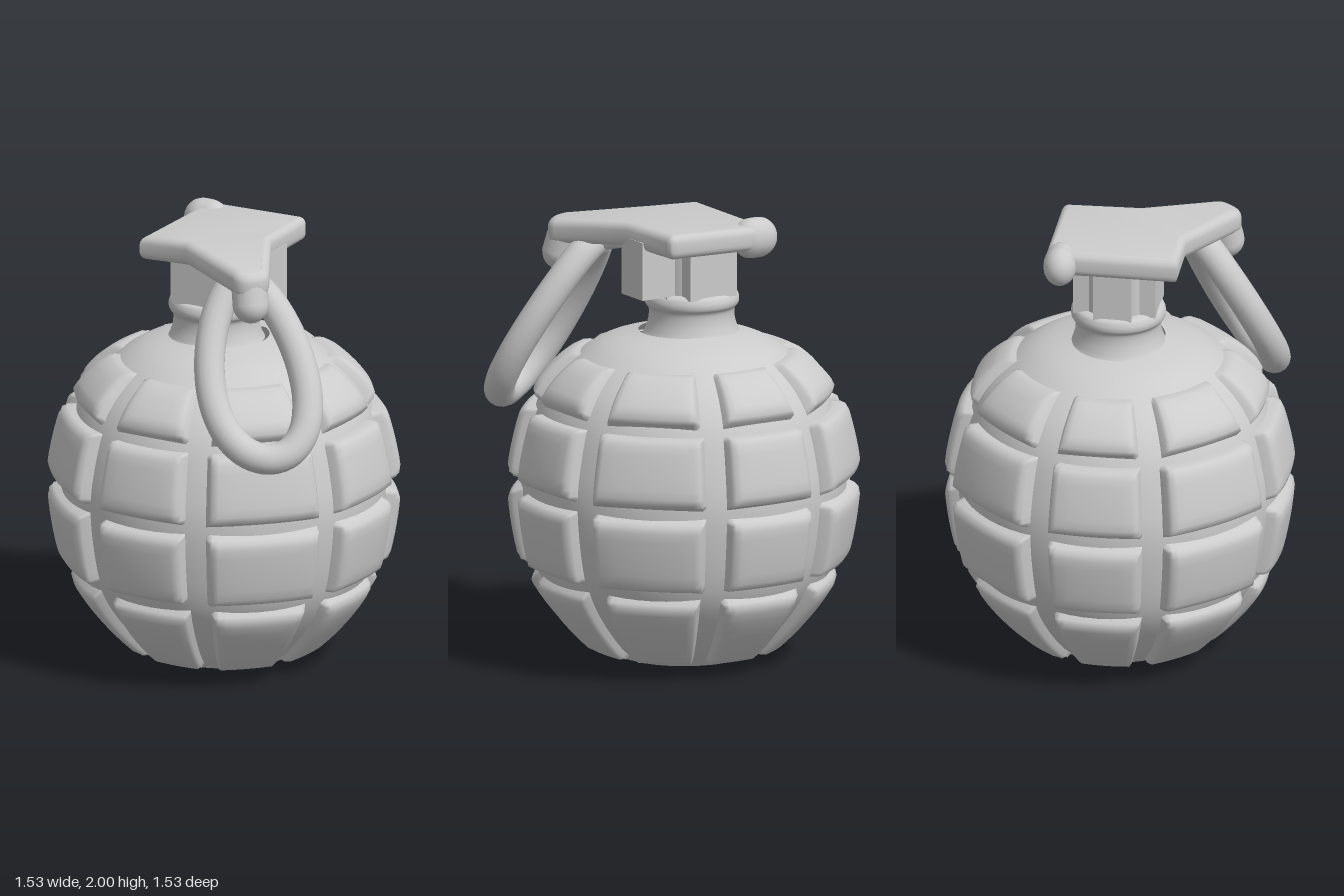
import * as THREE from 'three';
import { toCreasedNormals } from 'three/addons/utils/BufferGeometryUtils.js';

const mat = new THREE.MeshStandardMaterial({ color: 0xcccccc, side: THREE.DoubleSide });
const V3 = (x, y, z) => new THREE.Vector3(x, y, z);
const pts2 = (list) => list.map(([x, y]) => new THREE.Vector2(x, y));

// Core silhouette: radius, height
const profile = new THREE.SplineCurve(pts2([
  [0.32, 0.035], [0.44, 0.13], [0.57, 0.28], [0.65, 0.42], [0.695, 0.6], [0.715, 0.8],
  [0.695, 0.97], [0.64, 1.16], [0.545, 1.3], [0.38, 1.425], [0.2, 1.48]])).getPoints(60);

function coreRadius(y) {
  let i = 1;
  while (i < profile.length - 1 && profile[i].y < y) i++;
  const a = profile[i - 1], b = profile[i];
  return a.x + (b.x - a.x) * (y - a.y) / (b.y - a.y);
}

// Positions and heights across a plate: steep bevelled rim, rounded edge, gentle middle
function plateSteps(size, height) {
  const rim = [[0, -0.02], [0.016, 0.45 * height], [0.03, 0.82 * height], [0.055, height]];
  const steps = rim.map(([d, h]) => [d, h]);
  for (let k = 1; k < 6; k++) steps.push([0.055 + (size - 0.11) * k / 6, height]);
  rim.slice().reverse().forEach(([d, h]) => steps.push([size - d, h]));
  return steps;
}

// One raised plate wrapped on the core, facing +z; fade lowers its upper end into the core
function plateGeometry(y0, y1, halfAngle, height, fade) {
  const mid = coreRadius((y0 + y1) / 2);
  const us = plateSteps(2 * halfAngle * mid, height), vs = plateSteps(y1 - y0, height);
  const pos = [], index = [], n = us.length;
  vs.forEach(([v, hv], j) => us.forEach(([u, hu], i) => {
    const y = y0 + v, a = u / mid - halfAngle;
    const h = Math.min(hu, hv) * (1 - fade * (v / (y1 - y0)) ** 2);
    const slope = (coreRadius(y + 0.03) - coreRadius(y - 0.03)) / 0.06;
    const len = Math.hypot(1, slope);
    const flat = 1 + 0.4 * (1 / Math.cos(a) - 1);
    const r = (coreRadius(y) + h / len) * flat;
    pos.push(r * Math.sin(a), y - slope * h / len, r * Math.cos(a));
    if (i < n - 1 && j < vs.length - 1) {
      const k = j * n + i;
      index.push(k, k + 1, k + n + 1, k, k + n + 1, k + n);
    }
  }));
  const g = new THREE.BufferGeometry();
  g.setAttribute('position', new THREE.Float32BufferAttribute(pos, 3));
  g.setIndex(index);
  g.computeVertexNormals();
  return g;
}

export function createModel() {
  const model = new THREE.Group();
  const add = (name, geometry, x = 0, y = 0, z = 0, parent = model) => {
    const m = new THREE.Mesh(geometry, mat);
    m.name = name;
    m.position.set(x, y, z);
    parent.add(m);
    return m;
  };
  const box = (name, w, h, d, x, y, z) => add(name, new THREE.BoxGeometry(w, h, d), x, y, z);

  // Body core and base disc
  add('bodyCore', new THREE.LatheGeometry(profile, 64));
  add('baseDisc', toCreasedNormals(new THREE.LatheGeometry(pts2([
    [0, 0], [0.2, 0.01], [0.29, 0.025], [0.325, 0.04], [0.34, 0.065], [0.3, 0.08]]), 48), 0.8));

  // Four rows of eight raised plates, the diagonal ones wider:
  // bottom, top, half angle, diagonal half angle, height, fade
  const rows = [
    [0.055, 0.405, 0.315, 0.34, 0.042, 0], [0.44, 0.785, 0.3, 0.36, 0.05, 0],
    [0.82, 1.145, 0.3, 0.36, 0.052, 0], [1.17, 1.385, 0.295, 0.34, 0.045, 0.4]];
  rows.forEach(([y0, y1, half, diagonalHalf, height, fade], r) => {
    const row = new THREE.Group();
    row.name = 'plateRow' + (r + 1);
    model.add(row);
    const plates = [half, diagonalHalf].map((a) => plateGeometry(y0, y1, a, height, fade));
    for (let i = 0; i < 8; i++) add('plate', plates[i % 2], 0, 0, 0, row).rotation.y = i * Math.PI / 4;
  });

  // Collar and fluted neck
  add('collar', new THREE.LatheGeometry(new THREE.SplineCurve(pts2([
    [0.215, 1.46], [0.202, 1.485], [0.19, 1.53], [0.19, 1.575], [0.207, 1.6],
    [0.207, 1.63], [0.185, 1.655], [0.1, 1.66]])).getPoints(32), 40), -0.04, 0, 0);
  add('neck', new THREE.CylinderGeometry(0.165, 0.165, 0.27, 32), -0.04, 1.775, 0);
  box('neckRib', 0.365, 0.26, 0.17, -0.04, 1.775, 0);
  box('neckRib', 0.24, 0.26, 0.365, -0.04, 1.775, 0);
  box('neckBracket', 0.25, 0.26, 0.17, 0.145, 1.785, 0);

  // Lever: bevelled plate whose corner nose droops
  const outline = new THREE.Shape();
  outline.moveTo(-0.255, -0.295);
  outline.lineTo(0.22, -0.295);
  outline.quadraticCurveTo(0.255, -0.295, 0.255, -0.26);
  outline.lineTo(0.27, 0.05);
  outline.lineTo(0.445, 0.36);
  outline.quadraticCurveTo(0.465, 0.4, 0.42, 0.45);
  outline.quadraticCurveTo(0.38, 0.5, 0.32, 0.47);
  outline.lineTo(-0.02, 0.295);
  outline.lineTo(-0.255, 0.295);
  outline.closePath();
  const lever = new THREE.ExtrudeGeometry(outline, {
    depth: 0.04, bevelSize: 0.035, bevelThickness: 0.035, bevelOffset: -0.035,
    bevelSegments: 4, curveSegments: 6 });
  lever.rotateX(Math.PI / 2);
  const p = lever.attributes.position;
  for (let i = 0; i < p.count; i++) {
    const s = p.getX(i) + p.getZ(i);
    p.setY(i, p.getY(i) + 0.05 * Math.min(0, p.getX(i)) - 0.15 * Math.max(0, s - 0.62));
  }
  add('lever', toCreasedNormals(lever, 0.7), 0, 1.947, 0);

  // Drooping nose and the strut under the lever that hold the ring
  const nose = add('leverNose', new THREE.CapsuleGeometry(0.08, 0.07, 8, 20), 0.375, 1.828, 0.405);
  nose.quaternion.setFromUnitVectors(V3(0, 1, 0), V3(-0.2, 1, -0.2).normalize());
  const strut = add('noseStrut', new THREE.CapsuleGeometry(0.05, 0.2, 6, 16), 0.28, 1.86, 0.29);
  strut.quaternion.setFromUnitVectors(V3(0, 1, 0), V3(1, -0.2, 1).normalize());

  // Pivot knob at the back corner
  const knob = add('pivotKnob', new THREE.CapsuleGeometry(0.09, 0.035, 8, 20), -0.222, 1.908, -0.228);
  knob.rotation.z = Math.PI / 2;
  knob.scale.z = 0.82;

  // Pull ring hanging outwards from the nose, wider towards the bottom
  const top = V3(0.275, 1.85, 0.3), bottom = V3(0.57, 1.158, 0.57), side = V3(0.19, 0, -0.125);
  const loop = [];
  for (let i = 0; i < 16; i++) {
    const a = i * Math.PI / 8, t = (1 - Math.cos(a)) / 2;
    loop.push(top.clone().lerp(bottom, t).addScaledVector(side, Math.sin(a) * (0.7 + 0.4 * t)));
  }
  add('pullRing', new THREE.TubeGeometry(new THREE.CatmullRomCurve3(loop, true), 80, 0.068, 16, true));

  return model;
}
